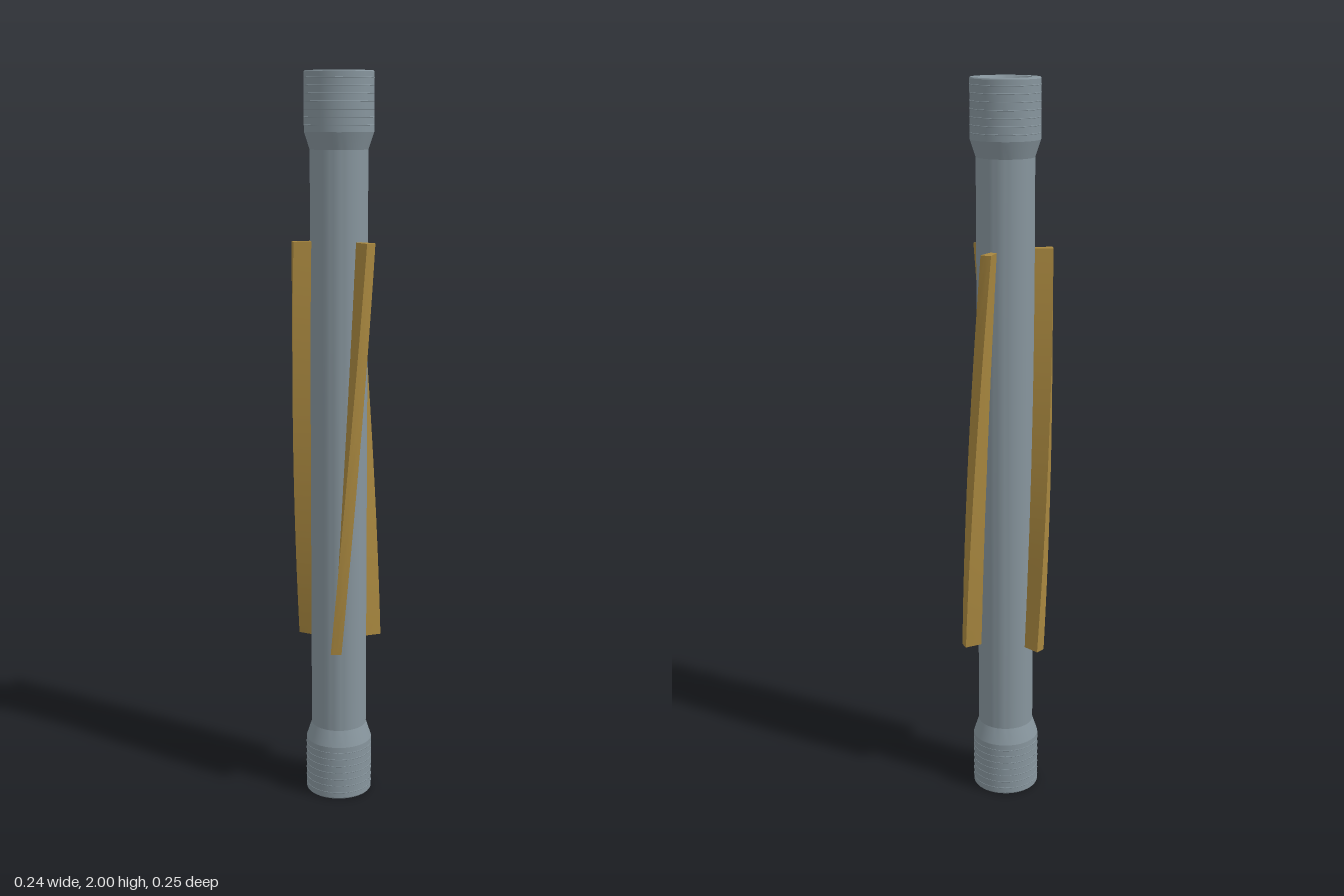
import * as THREE from 'three';
import { toCreasedNormals } from 'three/addons/utils/BufferGeometryUtils.js';

const steel = new THREE.MeshStandardMaterial({ color: 0x87959d });
steel.name = 'steel grey';
const bronze = new THREE.MeshStandardMaterial({ color: 0xa8873f });
bronze.name = 'bronze';

function add(parent, name, geometry, material) {
  const mesh = new THREE.Mesh(geometry, material);
  mesh.name = name;
  parent.add(mesh);
  return mesh;
}

// Tube body with thicker end joints, tapers and funnel mouths
function bodyGeometry() {
  const half = [[0.05, 0.03], [0.068, 0], [0.09, 0], [0.092, 0.003], [0.092, 0.155], [0.077, 0.2]];
  const mirrored = half.map(([r, y]) => [r, 2 - y]).reverse();
  const points = [...half, ...mirrored].map(([r, y]) => new THREE.Vector2(r, y));
  return toCreasedNormals(new THREE.LatheGeometry(points, 48), 0.3);
}

// Eight-sided through bore, cut from a sleeve inside the body
function boreGeometry() {
  const shape = new THREE.Shape().absarc(0, 0, 0.053, 0, Math.PI * 2, false);
  const corners = [];
  for (let i = 0; i < 8; i++) {
    const a = -i * Math.PI / 4;
    corners.push(new THREE.Vector2(0.043 * Math.cos(a), 0.043 * Math.sin(a)));
  }
  shape.holes.push(new THREE.Path(corners));
  const geometry = new THREE.ExtrudeGeometry(shape, { depth: 1.94, bevelEnabled: false, curveSegments: 24 });
  return geometry.rotateX(-Math.PI / 2).translate(0, 0.03, 0);
}

// Helical blade: a box bent into cylindrical coordinates
function bladeGeometry() {
  const geometry = new THREE.BoxGeometry(1, 1, 1, 4, 24, 1);
  const p = geometry.attributes.position;
  for (let i = 0; i < p.count; i++) {
    const t = p.getY(i) + 0.5;
    const angle = THREE.MathUtils.degToRad(90 - 45.5 * t - p.getX(i) * 13.5);
    const radius = p.getZ(i) > 0 ? 0.126 : 0.068;
    p.setXYZ(i, radius * Math.cos(angle), 0.445 + 1.118 * t, radius * Math.sin(angle));
  }
  return toCreasedNormals(geometry, 0.5);
}

export function createModel() {
  const model = new THREE.Group();
  model.name = 'bladedTube';

  add(model, 'body', bodyGeometry(), steel);
  add(model, 'bore', boreGeometry(), steel);

  // Fine thread ridges around both end joints
  const ridge = new THREE.TorusGeometry(0.0913, 0.0015, 6, 48).rotateX(Math.PI / 2);
  for (let i = 0; i < 7; i++) {
    const y = 0.018 + i * 0.02;
    add(model, 'lowerThreadRidge', ridge, steel).position.y = y;
    add(model, 'upperThreadRidge', ridge, steel).position.y = 2 - y;
  }

  // Three blades spaced evenly around the body
  const blade = bladeGeometry();
  for (let i = 0; i < 3; i++) {
    add(model, 'blade', blade, bronze).rotation.y = i * Math.PI * 2 / 3;
  }

  // Offset that centres the blade extents
  model.children.forEach((part) => {
    part.position.x += 0.003;
    part.position.z -= 0.002;
  });
  return model;
}
